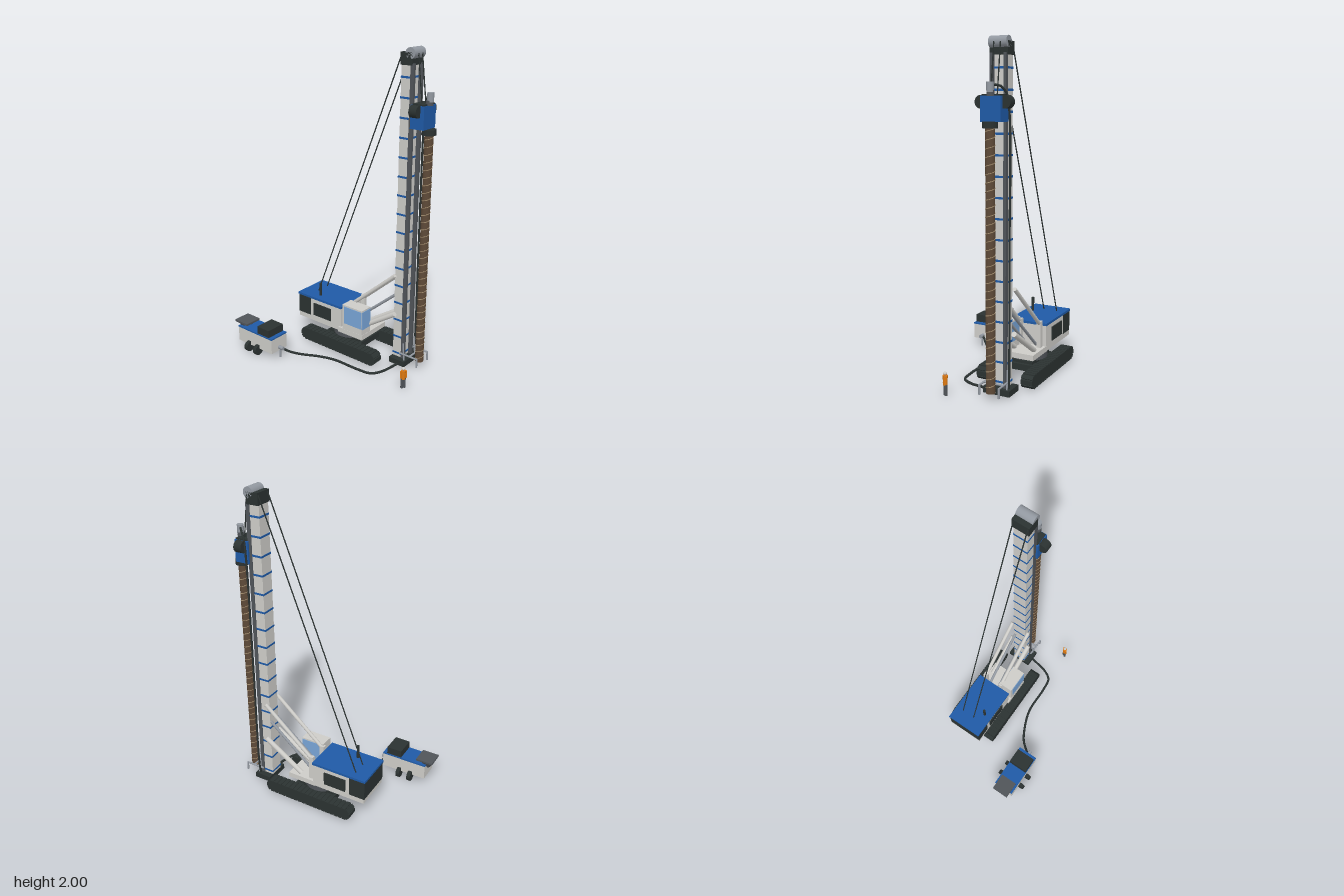
import * as THREE from 'three';

const V = (x, y, z) => new THREE.Vector3(x, y, z);
const mat = (name, color) => Object.assign(new THREE.MeshStandardMaterial({ color }), { name });
const M = {
  pale: mat('pale grey paint', 0xcdccc8),
  blue: mat('blue paint', 0x1f5aa6),
  dark: mat('black rubber and steel', 0x2b3231),
  steel: mat('bright steel', 0x9298a0),
  iron: mat('dark steel', 0x505459),
  glass: mat('window glass', 0x78a4d6),
  soil: mat('earthy auger', 0x5e4a38),
  edge: mat('worn flight edge', 0xa89272),
  orange: mat('orange vest', 0xe07b12),
  skin: mat('skin', 0xc9a184),
};

export function createModel() {
  const root = new THREE.Group();
  let parent = root;
  const begin = (name) => {
    parent = new THREE.Group();
    parent.name = name;
    root.add(parent);
  };
  const add = (name, geo, m) => {
    const mesh = new THREE.Mesh(geo, m);
    mesh.name = name;
    parent.add(mesh);
    return mesh;
  };
  // Box from its min and max corners
  const box = (name, m, x0, x1, y0, y1, z0, z1) => {
    const b = add(name, new THREE.BoxGeometry(x1 - x0, y1 - y0, z1 - z0), m);
    b.position.set((x0 + x1) / 2, (y0 + y1) / 2, (z0 + z1) / 2);
  };
  // Cylinder between two points
  const rod = (name, m, a, b, r, r2 = r, seg = 20) => {
    const d = b.clone().sub(a);
    const c = add(name, new THREE.CylinderGeometry(r2, r, d.length(), seg), m);
    c.position.copy(a).add(b).multiplyScalar(0.5);
    c.quaternion.setFromUnitVectors(V(0, 1, 0), d.normalize());
    return c;
  };
  const hose = (name, m, pts, r, seg = 60) =>
    add(name, new THREE.TubeGeometry(new THREE.CatmullRomCurve3(pts, false, 'centripetal'), seg, r, 8), m);

  const CX = 0.19; // centre line of the carrier
  const MX = 0.215; // centre line of the mast
  const sides = [-1, 1];

  // Crawler tracks with shoes running round a stadium path
  begin('undercarriage');
  for (const s of sides) {
    const x = CX + s * 0.1465, r = 0.038, h = 0.27, yc = 0.053;
    const shape = new THREE.Shape();
    shape.absarc(h, 0, r, -Math.PI / 2, Math.PI / 2);
    shape.absarc(-h, 0, r, Math.PI / 2, Math.PI * 1.5);
    const g = new THREE.ExtrudeGeometry(shape, { depth: 0.07, bevelEnabled: false, curveSegments: 8 });
    g.translate(0, 0, -0.035).rotateY(-Math.PI / 2);
    add('trackBelt', g, M.dark).position.set(x, yc, 0.006);
    const n = 44, straight = 2 * h, half = straight + Math.PI * r;
    for (let i = 0; i < n; i++) {
      // The second half of the loop is the first turned by 180 degrees
      const flip = i < n / 2 ? 1 : -1;
      const d = (i % (n / 2)) / (n / 2) * half;
      const a = Math.max(0, d - straight) / r;
      const z = Math.min(d, straight) - h + Math.sin(a) * r;
      const shoe = add('trackShoe', new THREE.BoxGeometry(0.074, 0.008, 0.024), M.dark);
      shoe.position.set(x, yc + flip * Math.cos(a) * r, 0.006 + flip * z);
      shoe.rotation.x = a;
    }
  }
  box('carBody', M.dark, 0.1, 0.28, 0.045, 0.1, -0.13, 0.12);
  for (const z of [-0.12, 0.11]) box('crossBeam', M.dark, 0.06, 0.32, 0.045, 0.085, z - 0.03, z + 0.03);
  rod('slewRing', M.iron, V(CX, 0.095, -0.01), V(CX, 0.135, -0.01), 0.12, 0.12, 32);

  // Engine house, deck and cab
  begin('upperStructure');
  box('deck', M.pale, 0.057, 0.313, 0.132, 0.166, -0.02, 0.178);
  box('engineHouse', M.pale, 0.068, 0.312, 0.135, 0.296, -0.27, -0.005);
  box('rearFloor', M.pale, 0.068, 0.312, 0.135, 0.168, -0.372, -0.27);
  box('counterweight', M.dark, 0.067, 0.313, 0.168, 0.296, -0.376, -0.27);
  box('roof', M.blue, 0.064, 0.316, 0.296, 0.311, -0.38, -0.003);
  for (const s of sides) {
    const x = CX + s * 0.125;
    box('sideGrille', M.dark, x - 0.004, x + 0.004, 0.18, 0.268, -0.242, -0.09);
  }
  rod('exhaust', M.dark, V(0.118, 0.3, -0.225), V(0.118, 0.4, -0.225), 0.009);
  box('cab', M.pale, 0.058, 0.148, 0.166, 0.34, 0.015, 0.176);
  box('windscreen', M.glass, 0.061, 0.145, 0.205, 0.33, 0.175, 0.179);
  for (const x of [0.057, 0.149]) box('cabWindow', M.glass, x - 0.002, x + 0.002, 0.21, 0.33, 0.032, 0.174);

  // Mast, bands, guide rails, head sheave and foot
  begin('mast');
  box('mastColumn', M.pale, MX - 0.045, MX + 0.045, 0.03, 1.92, 0.347, 0.411);
  for (let i = 0; i < 16; i++) {
    const y = 1.832 - i * 0.1175;
    box('mastBand', M.blue, MX - 0.047, MX + 0.047, y - 0.006, y + 0.006, 0.345, 0.413);
  }
  for (const s of sides) {
    const x = MX + s * 0.042;
    box('guideRail', M.iron, x - 0.008, x + 0.008, 0.04, 1.91, 0.411, 0.436);
  }
  box('mastHead', M.dark, MX - 0.055, MX + 0.055, 1.9, 1.972, 0.345, 0.425);
  rod('headSheave', M.steel, V(MX - 0.055, 1.967, 0.41), V(MX + 0.055, 1.967, 0.41), 0.033, 0.033, 28);
  box('mastFoot', M.dark, MX - 0.085, MX + 0.085, 0.01, 0.046, 0.345, 0.46);

  // Guide frame around the foot of the drill string
  for (const s of sides) {
    const x = MX + s * 0.062;
    rod('guideArm', M.steel, V(x, 0.086, 0.41), V(x, 0.086, 0.54), 0.006);
    rod('guideLeg', M.steel, V(x, 0.03, 0.54), V(x, 0.09, 0.54), 0.006);
    rod('guidePost', M.steel, V(x, 0.04, 0.445), V(x, 0.16, 0.435), 0.005);
  }
  rod('guideBar', M.steel, V(MX - 0.065, 0.086, 0.485), V(MX + 0.065, 0.086, 0.485), 0.006);

  // Struts, rams and stay ropes
  begin('mastSupports');
  for (const s of sides) {
    const x = MX + s * 0.066;
    rod('upperStrut', M.pale, V(x, 0.32, 0.03), V(x, 0.61, 0.36), 0.012);
    rod('lowerStrut', M.pale, V(x, 0.172, 0.1), V(x, 0.348, 0.365), 0.016);
    rod('ram', M.steel, V(MX + s * 0.035, 0.17, 0), V(MX + s * 0.035, 0.47, 0.35), 0.009);
    rod('stayRope', M.dark, V(MX + s * 0.045, 0.31, -0.287), V(MX + s * 0.045, 1.97, 0.352), 0.0038, 0.0038, 8);
    box('strutBracket', M.pale, x - 0.013, x + 0.013, 0.16, 0.33, 0.005, 0.035);
  }

  // Rotary drive on the guide rails
  begin('rotaryDrive');
  box('gearbox', M.blue, MX - 0.062, MX + 0.062, 1.545, 1.682, 0.428, 0.52);
  box('gearboxLid', M.dark, MX - 0.055, MX + 0.055, 1.682, 1.69, 0.435, 0.515);
  rod('chuck', M.dark, V(MX, 1.512, 0.52), V(MX, 1.546, 0.52), 0.042, 0.042, 28);
  for (const s of sides) {
    const x = MX + s * 0.073;
    rod('driveMotor', M.dark, V(x, 1.65, 0.445), V(x, 1.65, 0.495), 0.036, 0.036, 24);
  }
  rod('swivelStem', M.iron, V(MX, 1.68, 0.515), V(MX, 1.71, 0.515), 0.022);
  rod('swivel', M.steel, V(MX, 1.7, 0.52), V(MX, 1.755, 0.52), 0.02);
  for (const s of sides)
    rod('hoistRope', M.dark, V(MX + s * 0.02, 1.69, 0.477), V(MX + s * 0.02, 1.967, 0.442), 0.0035, 0.0035, 8);

  // Auger string with a helical edge
  begin('auger');
  rod('augerBody', M.soil, V(MX, 0.045, 0.52), V(MX, 1.515, 0.52), 0.0265, 0.0265, 24);
  const turns = 32, helix = [];
  for (let i = 0; i <= turns * 12; i++) {
    const a = (i / 12) * Math.PI * 2;
    helix.push(V(MX + Math.cos(a) * 0.026, 0.05 + (i / (turns * 12)) * 1.46, 0.52 - Math.sin(a) * 0.026));
  }
  add('flightEdge', new THREE.TubeGeometry(new THREE.CatmullRomCurve3(helix), turns * 20, 0.0026, 5), M.edge);

  // Supply hose from the swivel down the mast and over the ground to the pump
  begin('supplyHose');
  hose('mastHose', M.dark, [V(MX, 1.735, 0.52), V(0.25, 1.738, 0.49), V(0.277, 1.7, 0.455), V(0.287, 1.6, 0.438),
    V(0.287, 0.8, 0.435), V(0.287, 0.12, 0.435), V(0.283, 0.05, 0.43)], 0.0065);
  hose('groundHose', M.dark, [V(0.2, 0.02, 0.42), V(0.12, 0.014, 0.405), V(0, 0.01, 0.38), V(-0.06, 0.01, 0.34),
    V(-0.075, 0.01, 0.25), V(-0.08, 0.01, 0.06), V(-0.11, 0.01, -0.04), V(-0.17, 0.012, -0.155),
    V(-0.22, 0.035, -0.205), V(-0.268, 0.075, -0.245)], 0.008, 90);

  // Pump trailer
  begin('pumpTrailer');
  const TX = -0.27;
  box('trailerBody', M.pale, TX - 0.069, TX + 0.069, 0.05, 0.147, -0.555, -0.25);
  box('trailerDeck', M.blue, TX - 0.07, TX + 0.07, 0.147, 0.156, -0.557, -0.249);
  box('pumpEngine', M.dark, TX - 0.066, TX + 0.066, 0.156, 0.206, -0.38, -0.277);
  for (const z of [-0.455, -0.375]) {
    for (const s of sides)
      rod('wheel', M.dark, V(TX + s * 0.072, 0.041, z - 0.0125), V(TX + s * 0.072, 0.041, z + 0.0125), 0.035, 0.035, 24);
  }
  const funnel = rod('hopperFunnel', M.iron, V(TX, 0.115, -0.545), V(TX, 0.17, -0.545), 0.03, 0.06);
  funnel.scale.z = 0.85;
  box('hopperRim', M.iron, TX - 0.058, TX + 0.058, 0.168, 0.181, -0.6, -0.486);
  rod('outletPipe', M.steel, V(TX, 0.075, -0.25), V(TX, 0.075, -0.212), 0.012);
  rod('supportLeg', M.steel, V(TX, 0.005, -0.24), V(TX, 0.06, -0.24), 0.006);

  // Standing figure beside the machine
  begin('standingFigure');
  for (const s of sides) {
    rod('leg', M.iron, V(s * 0.008, 0, 0), V(s * 0.008, 0.064, 0), 0.0085, 0.0085, 10);
    rod('arm', M.orange, V(s * 0.018, 0.068, 0.003), V(s * 0.017, 0.115, 0), 0.005, 0.005, 8);
  }
  rod('torso', M.orange, V(0, 0.06, 0), V(0, 0.118, 0), 0.013, 0.015, 12);
  const head = add('head', new THREE.SphereGeometry(0.0095, 12, 8), M.skin);
  head.position.y = 0.126;
  const hat = add('hardHat', new THREE.SphereGeometry(0.011, 12, 6, 0, Math.PI * 2, 0, Math.PI / 2), M.pale);
  hat.position.y = 0.129;
  parent.position.set(-0.048, 0, 0.577);
  parent.rotation.y = -0.6;

  return root;
}
